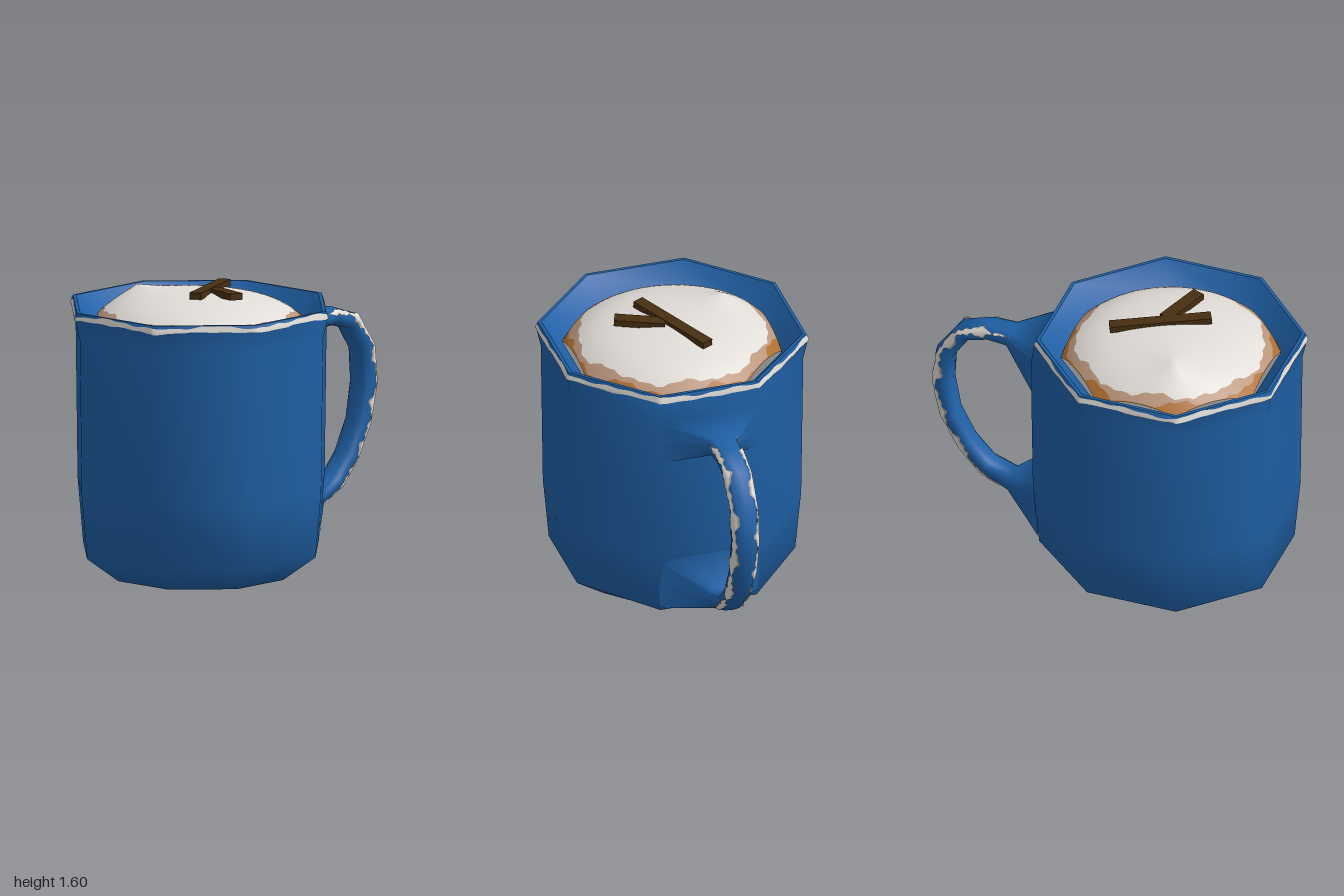
import * as THREE from 'three';
import { mergeVertices } from 'three/addons/utils/BufferGeometryUtils.js';

const SIDES = 8;
const CX = -0.265;                 // cup axis
const HANDLE_TURN = Math.PI / 8;   // handle sits in the middle of one cup face

function paint(name, color) {
  const m = new THREE.MeshStandardMaterial({ color });
  m.name = name;
  return m;
}

// Surface from rows i and columns j; faces point along (dj x di)
function grid(fn, nu, nv) {
  const pos = [], idx = [];
  for (let i = 0; i <= nu; i++) for (let j = 0; j <= nv; j++) pos.push(...fn(i, j));
  for (let i = 0; i < nu; i++) for (let j = 0; j < nv; j++) {
    const a = i * (nv + 1) + j, b = a + 1, c = a + nv + 1, d = c + 1;
    idx.push(a, b, c, b, d, c);
  }
  let g = new THREE.BufferGeometry();
  g.setAttribute('position', new THREE.Float32BufferAttribute(pos, 3));
  g.setIndex(idx);
  g = mergeVertices(g, 1e-5);
  g.computeVertexNormals();
  return g;
}

// Eight-sided lathe, welded and smooth; the two corners beside the handle may bulge
function lathe(points, bulge = 1) {
  let g = new THREE.LatheGeometry(points.map(([x, y]) => new THREE.Vector2(x, y)), SIDES);
  g.deleteAttribute('uv');
  g.deleteAttribute('normal');
  g = mergeVertices(g, 1e-5);
  const p = g.attributes.position;
  for (let i = 0; i < p.count; i++) {
    const x = p.getX(i), y = p.getY(i), z = p.getZ(i);
    if (x > 0.3 && z < 0.1 && y > 0.1 && y < 1.4) p.setXYZ(i, x * bulge, y, z * bulge);
  }
  g.computeVertexNormals();
  return g;
}

// Radius of an octagon with corners on the axes
function octagon(r, a) {
  const step = (2 * Math.PI) / SIDES;
  const local = ((a % step) + step) % step - step / 2;
  return r * Math.cos(step / 2) / Math.cos(local);
}

const ripple = (a, s) =>
  0.5 * Math.sin(7 * a + s) + 0.3 * Math.sin(13 * a + 2.3 * s) + 0.25 * Math.sin(29 * a + 0.7 * s);

// Handle rings: distance from axis, height, half width, half thickness, roundness
const RINGS = [
  [0.675, 1.235, 0.290, 0.140, 0.3],
  [0.910, 1.300, 0.085, 0.050, 0.8],
  [1.030, 1.305, 0.076, 0.050, 0.8],
  [1.175, 1.260, 0.074, 0.050, 0.8],
  [1.285, 1.100, 0.074, 0.053, 0.8],
  [1.300, 0.910, 0.074, 0.056, 0.8],
  [1.258, 0.705, 0.072, 0.050, 0.8],
  [1.163, 0.525, 0.070, 0.048, 0.8],
  [1.050, 0.400, 0.072, 0.048, 0.8],
  [0.905, 0.335, 0.080, 0.055, 0.8],
  [0.660, 0.335, 0.285, 0.168, 0.3],
];

function ringPoint(k, angle, lift) {
  const last = RINGS.length - 1;
  const [r, y, w, h, power] = RINGS[k];
  const p = RINGS[Math.max(k - 1, 0)], n = RINGS[Math.min(k + 1, last)];
  let tx = n[0] - p[0], ty = n[1] - p[1];
  if (k === 0) { tx = 1; ty = 0; }
  if (k === last) { tx = -1; ty = 0; }
  const len = Math.hypot(tx, ty);
  const round = (v) => Math.sign(v) * Math.abs(v) ** power;
  const out = round(Math.cos(angle)) * (h + lift);
  return [r - ty / len * out, y + tx / len * out, round(Math.sin(angle)) * (w + lift)];
}

// Point anywhere along the handle, t counted in rings
function handlePoint(t, angle, lift) {
  const k = Math.min(Math.floor(t), RINGS.length - 2), f = t - k;
  const a = ringPoint(k, angle, lift), b = ringPoint(k + 1, angle, lift);
  return a.map((v, i) => v + (b[i] - v) * f);
}

// Handle whose roots are shaded like the cup wall they grow from
function handleGeometry() {
  const g = grid((i, j) => ringPoint(i, ((j % 12) / 12) * 2 * Math.PI, 0), RINGS.length - 1, 12);
  const p = g.attributes.position;
  const n = new THREE.Vector3();
  for (let i = 0; i < p.count; i++) {
    if (p.getX(i) > 0.7) continue;
    n.set(1, 0, p.getZ(i) * 1.4).normalize();
    g.attributes.normal.setXYZ(i, n.x, n.y, n.z);
  }
  return g;
}

// Whipped surface: a dome, steeper at the edge, with one small peak
function foamHeight(x, z) {
  const r2 = x * x + z * z;
  return 1.58 - 0.3 * r2 - 1.9 * r2 ** 3 + 0.06 * Math.exp(-Math.hypot(x + 0.25, z + 0.25) / 0.13);
}

export function createModel() {
  const model = new THREE.Group();
  model.name = 'mug';
  const blue = paint('blue enamel', 0x1f60a6);
  const white = paint('cream white', 0xe0dcd7);
  const worn = paint('worn edge', 0xaea39c);
  const tan = paint('tan froth', 0xba957c);
  const cocoa = paint('cocoa', 0xae6f2f);
  const bark = paint('cinnamon', 0x472e10);

  const cup = new THREE.Group();
  cup.name = 'cup';
  cup.position.x = CX;
  model.add(cup);
  const add = (parent, name, geometry, material) => {
    const mesh = new THREE.Mesh(geometry, material);
    mesh.name = name;
    parent.add(mesh);
    return mesh;
  };

  // Cup shell
  add(cup, 'body', lathe([[0, 0.005], [0.48, 0.03], [0.665, 0.165], [0.697, 0.52],
    [0.708, 1.36], [0.735, 1.48]], 1.065), blue);
  add(cup, 'lip', lathe([[0.735, 1.48], [0.724, 1.513]]), blue);
  add(cup, 'rim', lathe([[0.724, 1.513], [0.705, 1.513]]), blue);
  add(cup, 'innerWall', lathe([[0.705, 1.513], [0.588, 1.385]]), blue);

  // Chipped white band around the lip
  const rimSteps = 240;
  add(cup, 'rimWear', grid((i, j) => {
    const a = (j / rimSteps) * 2 * Math.PI;
    const y = [Math.min(1.513, 1.502 + 0.012 * ripple(a, 1)), 1.48, 1.475 - 0.01 * ripple(a, 4)][i];
    const r = octagon(0.738 - Math.max(0, y - 1.48) / 3, a);
    return [r * Math.cos(a), y, r * Math.sin(a)];
  }, 2, rimSteps), white);

  // Drink: white cream, tan froth and cocoa rings on one dome
  const edge = (a) => octagon(0.592, a);
  const froth = (a) => Math.min(edge(a) - 0.004, 0.548 + 0.03 * ripple(a, 2.2));
  const cream = (a) => Math.min(froth(a) - 0.012, 0.508 + 0.024 * ripple(a, 0.6));
  const dome = (name, inner, outer, rows, material) => add(cup, name, grid((i, j) => {
    const a = (j / 96) * 2 * Math.PI;
    const r = inner(a) + (outer(a) - inner(a)) * (i / rows);
    const x = r * Math.cos(a), z = r * Math.sin(a);
    return [x, foamHeight(x, z), z];
  }, rows, 96), material);
  dome('cream', () => 0, cream, 16, white);
  dome('froth', cream, froth, 2, tan);
  dome('cocoa', froth, edge, 2, cocoa);

  // Cinnamon sticks, each between two end points
  const stick = (name, from, to, width) => {
    const a = new THREE.Vector3(...from), b = new THREE.Vector3(...to);
    const mesh = add(model, name, new THREE.BoxGeometry(width, 0.036, a.distanceTo(b)), bark);
    mesh.position.copy(a).add(b).multiplyScalar(0.5);
    mesh.lookAt(b);
  };
  stick('longStick', [-0.38, 1.592, 0.195], [-0.015, 1.572, -0.215], 0.066);
  stick('shortStick', [-0.187, 1.592, 0.305], [-0.195, 1.58, 0.03], 0.072);

  // Handle with flared roots
  const handle = new THREE.Group();
  handle.name = 'handle';
  handle.rotation.y = HANDLE_TURN;
  cup.add(handle);
  add(handle, 'handleLoop', handleGeometry(), blue);

  // Worn strips along both outer edges of the handle
  const steps = 130;
  for (const side of [-1, 1]) {
    for (const [name, material, size, lift] of [['wornBorder', worn, 1.35, 0.004], ['wornStrip', white, 1, 0.007]]) {
      add(handle, name, grid((i, j) => {
        const f = i / steps;
        const fade = Math.min(1, 6 * f, 6 * (1 - f));
        const half = size * fade * Math.max(0.04, 0.27 + 0.25 * ripple(f * 6, 2 + side));
        const mid = side * (1.08 + 0.14 * ripple(f * 3, side));
        return handlePoint(0.95 + f * 7.9, mid + half * (j - 2) / 2, lift);
      }, steps, 4), material);
    }
  }
  return model;
}
